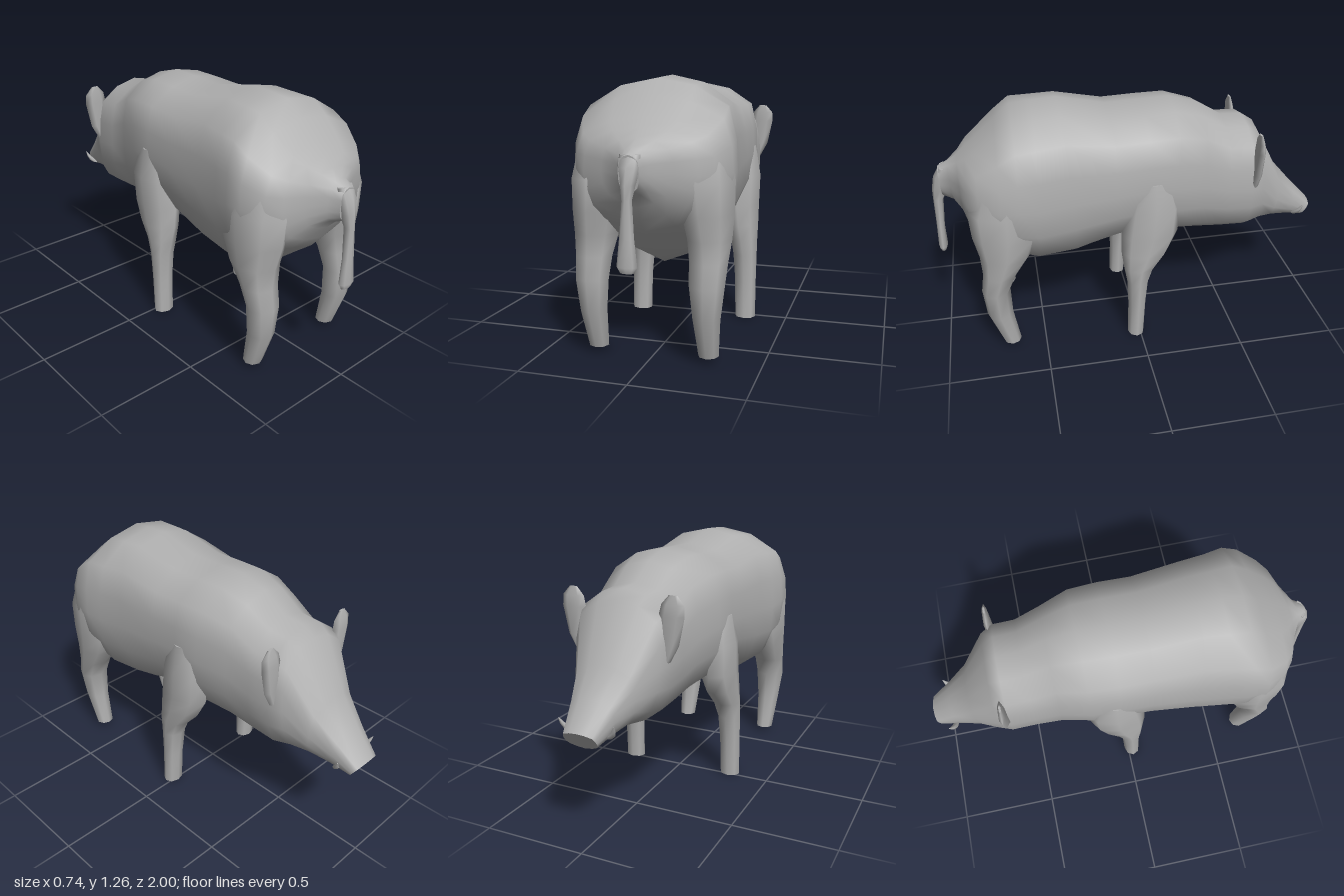
import * as THREE from 'three';

const hide = new THREE.MeshStandardMaterial({ color: 0xb0b0b0 });
hide.name = 'grey hide';

// Joins rings of points into a smooth skin with flat end caps.
function loft(name, rings) {
  const n = rings[0].length, pos = [], idx = [];
  rings.forEach(r => r.forEach(p => pos.push(...p)));
  for (let i = 0; i < rings.length - 1; i++) {
    for (let j = 0; j < n; j++) {
      const a = i * n + j, b = i * n + (j + 1) % n;
      idx.push(a, a + n, b, b, a + n, b + n);
    }
  }
  const cap = (ring, flip) => {
    const base = pos.length / 3;
    ring.forEach(p => pos.push(...p));
    for (let j = 1; j < n - 1; j++) {
      idx.push(base, base + (flip ? j + 1 : j), base + (flip ? j : j + 1));
    }
  };
  cap(rings[0], false);
  cap(rings[rings.length - 1], true);
  const geo = new THREE.BufferGeometry();
  geo.setAttribute('position', new THREE.Float32BufferAttribute(pos, 3));
  geo.setIndex(idx);
  geo.computeVertexNormals();
  const mesh = new THREE.Mesh(geo, hide);
  mesh.name = name;
  return mesh;
}

// Limb from [x, y, z, radiusX, radiusZ] rows listed from the bottom up.
function limb(name, rows, side = 1, n = 8) {
  return loft(name, rows.map(([x, y, z, rx, rz]) =>
    Array.from({ length: n }, (_, j) => {
      const t = j / n * Math.PI * 2;
      return [side * x + rx * Math.cos(t), y, z + rz * Math.sin(t)];
    })));
}

// Half of the body cross-section, from underside to spine.
const half = [[0, -1], [0.45, -0.86], [0.8, -0.66], [0.97, -0.33], [1, 0],
  [0.98, 0.35], [0.88, 0.7], [0.47, 0.92], [0, 1]];
const section = [...half, ...half.slice(1, -1).reverse().map(([x, y]) => [-x, y])];

// Body rows: z at spine, z at underside, top, bottom, half width.
const bodyRows = [
  [0.95, 0.94, 0.95, 0.79, 0.045],
  [0.9, 0.89, 0.975, 0.765, 0.07],
  [0.85, 0.845, 1.01, 0.72, 0.16],
  [0.81, 0.82, 1.05, 0.66, 0.255],
  [0.76, 0.77, 1.09, 0.6, 0.315],
  [0.66, 0.68, 1.18, 0.53, 0.365],
  [0.58, 0.58, 1.25, 0.45, 0.365],
  [0.48, 0.5, 1.258, 0.405, 0.345],
  [0.36, 0.3, 1.265, 0.42, 0.325],
  [0.12, 0.1, 1.215, 0.49, 0.31],
  [-0.05, -0.05, 1.22, 0.515, 0.31],
  [-0.2, -0.17, 1.225, 0.49, 0.3],
  [-0.34, -0.33, 1.185, 0.47, 0.255],
  [-0.47, -0.47, 1.105, 0.46, 0.24],
  [-0.58, -0.6, 1.1, 0.455, 0.24],
  [-0.64, -0.67, 1.06, 0.475, 0.215],
  [-0.78, -0.75, 0.805, 0.495, 0.15],
  [-0.89, -0.85, 0.68, 0.49, 0.11],
  [-1, -0.94, 0.565, 0.478, 0.08],
];

export function createModel() {
  const boar = new THREE.Group();
  boar.name = 'boar';

  // Trunk, neck and head
  boar.add(loft('bodyAndHead', bodyRows.map(([zt, zb, top, bot, w]) =>
    section.map(([x, y]) => {
      const k = (y + 1) / 2;
      return [x * w, bot + k * (top - bot), zb + k * (zt - zb)];
    }))));

  // Hanging tail with a broader tip
  boar.add(limb('tail', [
    [0, 0.475, 0.977, 0.03, 0.014],
    [0, 0.5, 0.977, 0.045, 0.023],
    [0, 0.62, 0.975, 0.032, 0.02],
    [0, 0.77, 0.967, 0.022, 0.025],
    [0, 0.83, 0.95, 0.032, 0.04],
    [0, 0.9, 0.935, 0.048, 0.04],
    [0, 0.95, 0.925, 0.046, 0.02],
  ]));

  for (const s of [1, -1]) {
    const side = s > 0 ? 'left' : 'right';

    boar.add(limb(side + 'FrontLeg', [
      [0.287, 0.008, 0.022, 0.053, 0.043],
      [0.285, 0.2, 0.015, 0.055, 0.046],
      [0.28, 0.34, 0.01, 0.062, 0.056],
      [0.272, 0.42, 0, 0.07, 0.08],
      [0.26, 0.5, -0.03, 0.08, 0.12],
      [0.25, 0.6, -0.055, 0.088, 0.145],
      [0.245, 0.75, -0.07, 0.096, 0.14],
      [0.23, 0.9, -0.07, 0.085, 0.1],
    ], s));

    boar.add(limb(side + 'HindLeg', [
      [0.26, 0.037, 0.675, 0.047, 0.045],
      [0.262, 0.22, 0.722, 0.063, 0.064],
      [0.265, 0.37, 0.73, 0.08, 0.07],
      [0.265, 0.47, 0.7, 0.087, 0.085],
      [0.26, 0.57, 0.665, 0.102, 0.125],
      [0.25, 0.68, 0.65, 0.118, 0.165],
      [0.24, 0.82, 0.645, 0.13, 0.18],
      [0.22, 1, 0.62, 0.125, 0.14],
    ], s));

    // Upright leaf-shaped ear
    boar.add(limb(side + 'Ear', [
      [0.215, 0.79, -0.602, 0.022, 0.018],
      [0.235, 0.87, -0.604, 0.045, 0.02],
      [0.245, 1.0, -0.605, 0.062, 0.018],
      [0.25, 1.05, -0.602, 0.055, 0.014],
      [0.25, 1.09, -0.6, 0.02, 0.006],
    ], s, 6));

    // Short curved tusk
    boar.add(limb(side + 'Tusk', [
      [0.09, 0.522, -0.895, 0.018, 0.012],
      [0.112, 0.54, -0.902, 0.016, 0.014],
      [0.126, 0.562, -0.913, 0.011, 0.011],
      [0.135, 0.588, -0.925, 0.003, 0.003],
    ], s, 6));
  }
  return boar;
}
